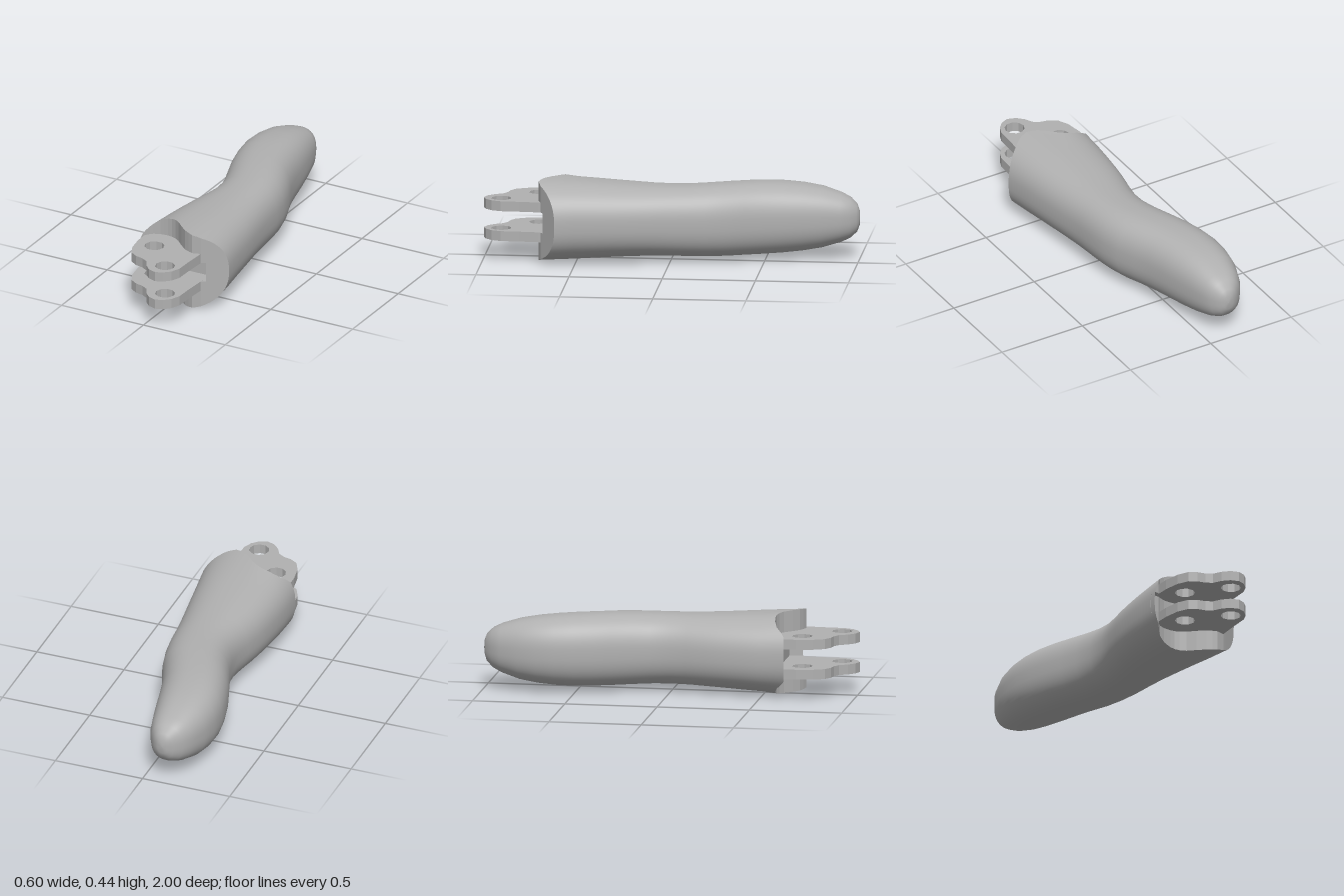
import * as THREE from 'three';

const MID = 0.2225; // height of the long axis
const N = 64; // points around each cross-section

// Cross-sections from fingertip to base: z, left x, right x, half height
const SECTIONS = [
  [-1, -0.113, -0.11, 0.002], [-0.998, -0.14, -0.085, 0.04], [-0.985, -0.17, -0.06, 0.075],
  [-0.95, -0.21, -0.03, 0.108], [-0.9, -0.243, -0.006, 0.132], [-0.8, -0.28, 0.02, 0.163],
  [-0.7, -0.297, 0.044, 0.18], [-0.6, -0.298, 0.066, 0.19], [-0.5, -0.282, 0.09, 0.195],
  [-0.4, -0.257, 0.123, 0.196], [-0.3, -0.222, 0.163, 0.196], [-0.2, -0.186, 0.189, 0.194],
  [-0.1, -0.161, 0.204, 0.191], [0, -0.157, 0.213, 0.19], [0.1, -0.174, 0.226, 0.191],
  [0.2, -0.195, 0.241, 0.195], [0.3, -0.21, 0.256, 0.2], [0.4, -0.221, 0.27, 0.206],
  [0.5, -0.229, 0.285, 0.212], [0.6, -0.232, 0.3, 0.222],
];

// Front cut in plan: a scoop round the hinge pin, a crest, then a bevel (x, z)
const CUT = [
  [-0.24, 0.64], [-0.205, 0.635], [-0.17, 0.592], [-0.13, 0.576], [-0.09, 0.572], [-0.05, 0.576],
  [-0.01, 0.6], [0.03, 0.64], [0.08, 0.682], [0.13, 0.7], [0.18, 0.685], [0.31, 0.592],
];

function cutZ(x) {
  let i = 1;
  while (i < CUT.length - 1 && x > CUT[i][0]) i++;
  const [x0, z0] = CUT[i - 1], [x1, z1] = CUT[i];
  return z0 + ((z1 - z0) * (x - x0)) / (x1 - x0);
}

// Point on a rounded, slightly squarish section
function sectionPoint([z, left, right, h], i) {
  const a = (i / N) * Math.PI * 2, e = 2 / 2.45;
  const bend = (v) => Math.sign(v) * Math.pow(Math.abs(v), e);
  return [(left + right) / 2 + ((right - left) / 2) * bend(Math.cos(a)), MID + h * bend(Math.sin(a)), z];
}

// Turn a grid of points into a surface
function gridGeometry(rows, closed) {
  const n = rows[0].length, index = [];
  for (let j = 0; j < rows.length - 1; j++) {
    for (let i = 0; i < (closed ? n : n - 1); i++) {
      const k = (i + 1) % n;
      const a = j * n + i, b = j * n + k, c = a + n, d = b + n;
      index.push(a, b, c, b, d, c);
    }
  }
  const g = new THREE.BufferGeometry();
  g.setAttribute('position', new THREE.Float32BufferAttribute(rows.flat(2), 3));
  g.setIndex(index);
  return g;
}

function fingerSkin() {
  const rows = SECTIONS.map((s, j) =>
    Array.from({ length: N }, (_, i) => {
      const p = sectionPoint(s, i);
      if (j === SECTIONS.length - 1) p[2] = cutZ(p[0]);
      return p;
    }));
  const g = gridGeometry(rows, true);
  g.computeVertexNormals();
  return g;
}

// Front face, with a slot recessed between the hinge plates
function frontFace() {
  const columns = [];
  for (let i = 0; i <= N / 2; i++) {
    const [x, top] = sectionPoint(SECTIONS[SECTIONS.length - 1], i);
    const h = top - MID, s = Math.min(h, 0.055);
    const z = cutZ(x), slot = x < 0.185 ? Math.min(z, 0.6) : z;
    columns.push([[-h, z], [-s, z], [-s, slot], [s, slot], [s, z], [h, z]].map(([y, pz]) => [x, MID + y, pz]));
  }
  const g = gridGeometry(columns, false).toNonIndexed();
  g.computeVertexNormals();
  return g;
}

function hingePlate() {
  const outline = [
    [-0.2, 0.52], [0.175, 0.52], [0.175, 0.7], [0.168, 0.8], [0.165, 0.9], [0.145, 0.95], [0.11, 0.985],
    [0.07, 1], [0.025, 0.985], [-0.01, 0.95], [-0.035, 0.905], [-0.07, 0.885], [-0.115, 0.875],
    [-0.155, 0.85], [-0.185, 0.79], [-0.2, 0.7],
  ];
  const shape = new THREE.Shape(outline.map(([x, z]) => new THREE.Vector2(x, z)));
  for (const [cx, cz] of [[-0.09, 0.718], [0.08, 0.905]]) {
    const pts = Array.from({ length: 10 }, (_, i) => {
      const a = (-i / 10) * Math.PI * 2;
      return new THREE.Vector2(cx + 0.054 * Math.cos(a), cz + 0.054 * Math.sin(a));
    });
    shape.holes.push(new THREE.Path(pts));
  }
  return new THREE.ExtrudeGeometry(shape, { depth: 0.054, bevelEnabled: false }).rotateX(Math.PI / 2);
}

export function createModel() {
  const group = new THREE.Group();
  const grey = new THREE.MeshStandardMaterial({ color: 0xb0b0b0 });
  grey.name = 'grey plastic';
  const add = (name, geometry, y = 0) => {
    const mesh = new THREE.Mesh(geometry, grey);
    mesh.name = name;
    mesh.position.y = y;
    group.add(mesh);
  };
  add('fingerBody', fingerSkin());
  add('frontFace', frontFace());
  // Two matching hinge plates
  const plate = hingePlate();
  add('upperHingePlate', plate, 0.331);
  add('lowerHingePlate', plate, 0.168);
  return group;
}
